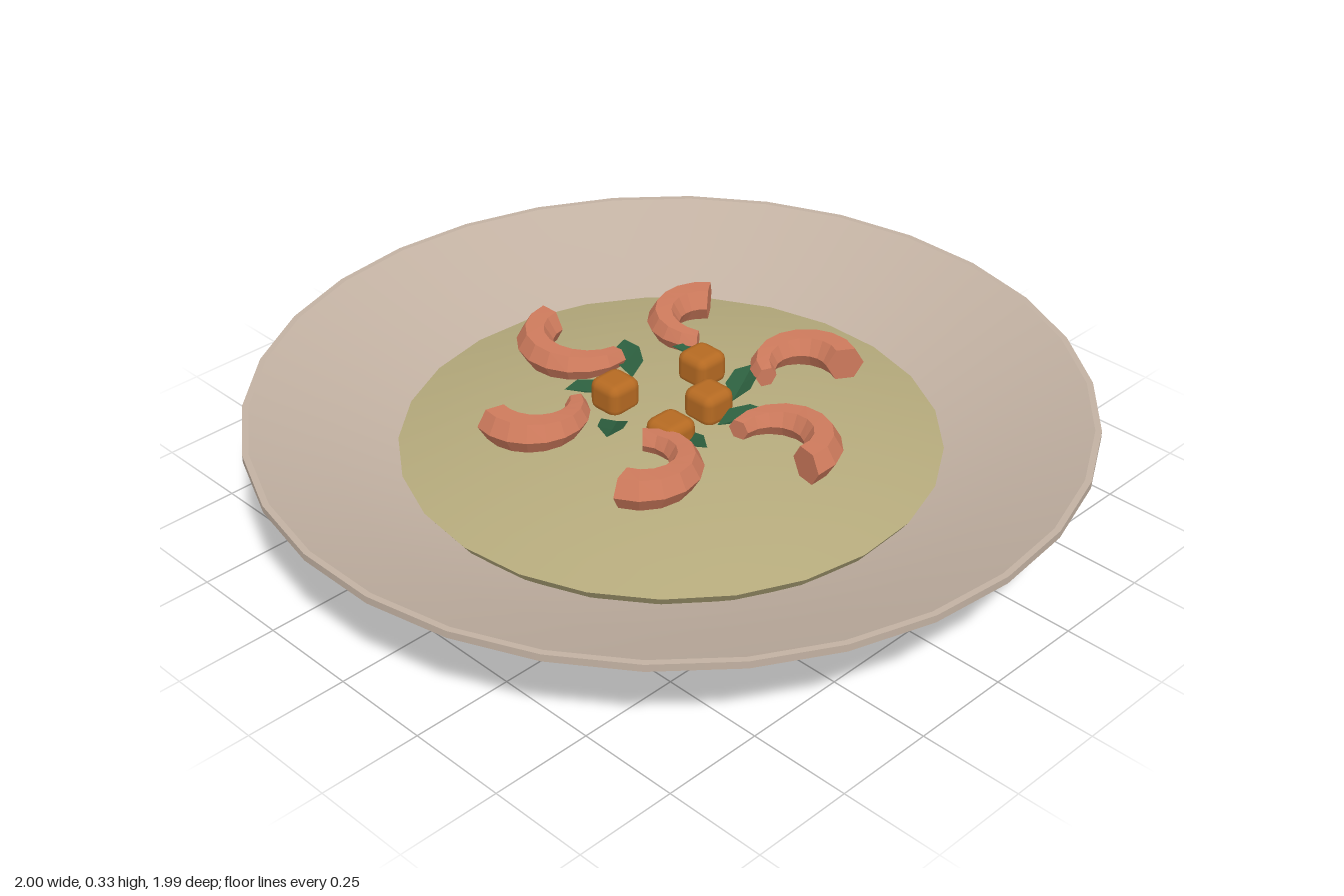
import * as THREE from 'three';
import { RoundedBoxGeometry } from 'three/addons/geometries/RoundedBoxGeometry.js';

const mat = (color, flatShading = false, side = THREE.FrontSide) =>
  new THREE.MeshStandardMaterial({ color, flatShading, side });
const rad = THREE.MathUtils.degToRad;

function lathe(name, profile, segments, start, material) {
  const pts = profile.map(([x, y]) => new THREE.Vector2(x, y));
  const mesh = new THREE.Mesh(new THREE.LatheGeometry(pts, segments, start), material);
  mesh.name = name;
  return mesh;
}

function facets(verts, index) {
  const g = new THREE.BufferGeometry();
  g.setAttribute('position', new THREE.Float32BufferAttribute(verts, 3));
  g.setIndex(index);
  g.computeVertexNormals();
  return g;
}

// Six-sided tapering arc, thick at angle a0 and thin at a1 (a1 < a0)
function curlGeometry(a0, a1, R) {
  const steps = 9, sides = 6, verts = [], index = [];
  for (let i = 0; i <= steps; i++) {
    const t = i / steps, a = rad(a0 + (a1 - a0) * t);
    const r = 0.046 - 0.02 * t * t;
    for (let j = 0; j < sides; j++) {
      const p = (j / sides) * Math.PI * 2;
      const d = R + r * Math.cos(p);
      verts.push(d * Math.cos(a), r * Math.sin(p), d * Math.sin(a));
    }
  }
  for (let i = 0; i < steps; i++) {
    for (let j = 0; j < sides; j++) {
      const k = (j + 1) % sides;
      const a = i * sides + j, b = i * sides + k;
      index.push(a, a + sides, b, b, a + sides, b + sides);
    }
  }
  // end caps
  const e = steps * sides;
  for (let j = 1; j < sides - 1; j++) index.push(0, j, j + 1, e, e + j + 1, e + j);
  return facets(verts, index);
}

// Leaf folded along its midrib, pointing along +x
function leafGeometry() {
  const verts = [
    -0.06, 0, 0, 0, 0.004, 0, 0.065, 0.012, 0,
    -0.025, 0.018, -0.032, 0.025, 0.02, -0.03,
    -0.025, 0.018, 0.032, 0.025, 0.02, 0.03,
  ];
  return facets(verts, [0, 1, 3, 1, 4, 3, 1, 2, 4, 0, 5, 1, 1, 5, 6, 1, 6, 2]);
}

export function createModel() {
  const model = new THREE.Group();

  // Bowl: separate bands keep the foot and rim edges sharp
  const bowl = new THREE.Group();
  bowl.name = 'bowl';
  const clay = mat(0xc2b1a2);
  const bands = {
    bowlBase: [[0, 0], [0.415, 0]],
    bowlOutside: [[0.415, 0], [0.447, 0.05], [0.6, 0.105], [0.8, 0.185], [1, 0.267]],
    bowlRim: [[1, 0.267], [1, 0.285]],
    bowlRimTop: [[1, 0.285], [0.985, 0.285]],
    bowlInside: [[0.985, 0.285], [0.8, 0.21], [0.62, 0.145], [0.42, 0.085], [0, 0.07]],
  };
  for (const [name, profile] of Object.entries(bands)) {
    bowl.add(lathe(name, profile, 30, rad(6), clay));
  }
  model.add(bowl);

  // Soup: shallow dome with a thin edge
  const soup = new THREE.Group();
  soup.name = 'soup';
  const broth = mat(0xb5aa7c);
  const dome = [];
  for (let i = 0; i <= 8; i++) {
    const r = 0.645 * (1 - i / 8);
    dome.push([r, 0.175 + 0.087 * (1 - (r / 0.645) ** 2)]);
  }
  soup.add(lathe('soupSurface', dome, 25, 0, broth));
  soup.add(lathe('soupEdge', [[0.62, 0.14], [0.645, 0.175]], 25, 0, broth));
  model.add(soup);

  // Curled shrimp: x, z, thick-end angle, thin-end angle, arc radius
  const pink = mat(0xcd7a5c, true);
  [
    [-0.315, -0.01, 180, -5, 0.115],
    [-0.17, -0.285, 233, 54, 0.1],
    [0.155, -0.295, 303, 112, 0.1],
    [0.33, -0.012, 10, -191, 0.105],
    [0.172, 0.262, 70, -135, 0.1],
    [-0.165, 0.282, 105, -63, 0.1],
  ].forEach(([x, z, a0, a1, R], i) => {
    const curl = new THREE.Mesh(curlGeometry(a0, a1, R), pink);
    curl.name = `shrimp${i + 1}`;
    curl.position.set(x, 0.295, z);
    model.add(curl);
  });

  // Diced vegetables
  const orange = mat(0xb56a22);
  const dice = new RoundedBoxGeometry(0.092, 0.085, 0.092, 2, 0.024);
  [[-0.035, -0.14], [0.09, -0.035], [-0.095, 0.09], [0.12, 0.12]].forEach(([x, z], i) => {
    const cube = new THREE.Mesh(dice, orange);
    cube.name = `dicedVegetable${i + 1}`;
    cube.position.set(x, 0.287, z);
    model.add(cube);
  });

  // Herb leaves: x, z, heading in degrees
  const green = mat(0x2c5e3e, true, THREE.DoubleSide);
  const leaf = leafGeometry();
  [
    [-0.19, -0.045, 145], [-0.15, 0.12, 245], [0.005, 0.195, 305], [0.17, 0.115, 0],
    [0.185, -0.05, 50], [0.08, -0.16, 110], [-0.085, -0.175, 215],
  ].forEach(([x, z, heading], i) => {
    const herb = new THREE.Mesh(leaf, green);
    herb.name = `herbLeaf${i + 1}`;
    herb.position.set(x, 0.275, z);
    herb.rotation.set(0, rad(heading), 0.18);
    model.add(herb);
  });

  return model;
}
